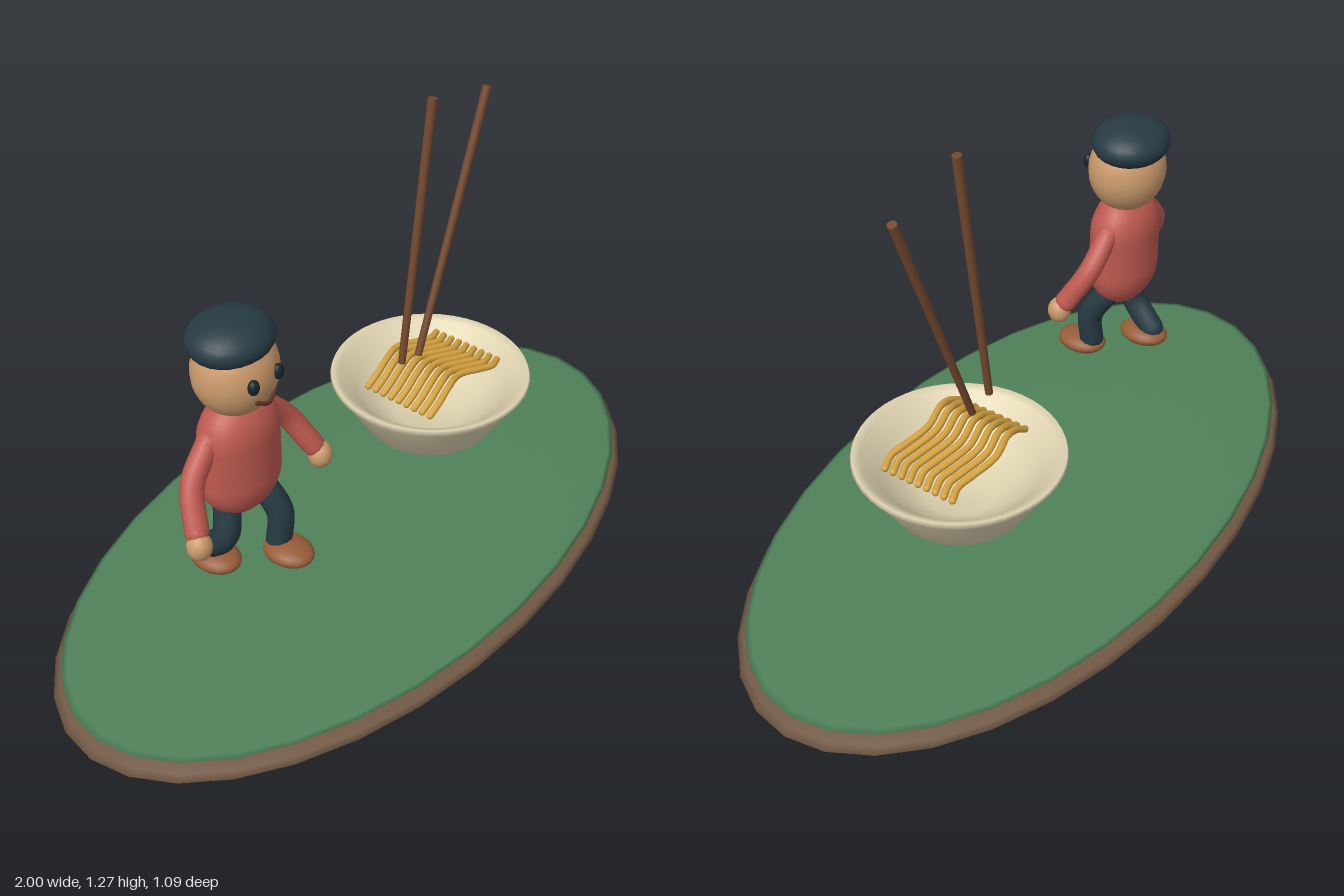
import * as THREE from 'three';

const mat = (color, side = THREE.FrontSide) => new THREE.MeshStandardMaterial({ color, side });
const M = {
  earth: mat(0x715844), grass: mat(0x4f8159), bowl: mat(0xddd2b0, THREE.DoubleSide),
  noodle: mat(0xd8a440), wood: mat(0x75492e), skin: mat(0xcb9a6b), shirt: mat(0xbf5a50),
  dark: mat(0x263a43), eye: mat(0x18242a), shoe: mat(0x965c38), mouth: mat(0x5a2f25),
};
const V = (p) => new THREE.Vector3(...p);

function add(group, name, geometry, material) {
  const mesh = new THREE.Mesh(geometry, material);
  mesh.name = name;
  group.add(mesh);
  return mesh;
}

// Ellipsoid from a centre and three radii
function ball(group, name, material, centre, radii, w = 24, h = 16) {
  const mesh = add(group, name, new THREE.SphereGeometry(1, w, h), material);
  mesh.position.set(...centre);
  mesh.scale.set(...radii);
  return mesh;
}

// Round strand through a few points, with closed ends
function strand(group, name, material, points, r, steps = 16, sides = 10) {
  const curve = new THREE.CatmullRomCurve3(points.map(V));
  add(group, name, new THREE.TubeGeometry(curve, steps, r, sides), material);
  for (const end of [points[0], points[points.length - 1]]) {
    ball(group, name + 'End', material, end, [r, r, r], sides, 8);
  }
}

// Straight tapered rod between two points
function rod(group, name, material, a, b, ra, rb) {
  const dir = V(b).sub(V(a));
  const mesh = add(group, name, new THREE.CylinderGeometry(rb, ra, dir.length(), 10), material);
  mesh.position.copy(V(a)).addScaledVector(dir, 0.5);
  mesh.quaternion.setFromUnitVectors(new THREE.Vector3(0, 1, 0), dir.normalize());
}

function makeGround() {
  const g = new THREE.Group();
  g.name = 'ground';
  ball(g, 'earthDisc', M.earth, [0, 0.06, 0], [1, 0.058, 0.545], 32, 16);
  ball(g, 'grassDisc', M.grass, [0, 0.105, 0], [0.975, 0.019, 0.525], 32, 16);
  return g;
}

function makeBowl() {
  const g = new THREE.Group();
  g.name = 'noodleBowl';
  g.position.x = 0.305;
  // Outer wall from the foot up, over the rim and down the inside
  const profile = [
    [0, 0.247], [0.1, 0.247], [0.175, 0.288], [0.255, 0.415], [0.27, 0.434], [0.266, 0.444],
    [0.245, 0.437], [0.205, 0.395], [0.15, 0.34], [0.09, 0.31], [0, 0.305],
  ].map(([r, y]) => new THREE.Vector2(r, y));
  add(g, 'bowl', new THREE.LatheGeometry(profile, 48), M.bowl);

  // Wavy noodles side by side
  const count = 9;
  for (let i = 0; i < count; i++) {
    const z = -0.095 + (0.205 * i) / (count - 1);
    strand(g, 'noodle', M.noodle, [
      [-0.16, 0.442, z + 0.01], [-0.125, 0.463, z + 0.012], [-0.075, 0.48, z + 0.004],
      [0, 0.473, z - 0.014], [0.07, 0.458, z + 0.002], [0.115, 0.449, z + 0.012], [0.155, 0.441, z],
    ], 0.0095, 28, 8);
  }

  // Pair of sticks above the noodles
  rod(g, 'chopstick', M.wood, [-0.127, 0.54, 0], [-0.025, 1.268, 0], 0.01, 0.012);
  rod(g, 'chopstick', M.wood, [-0.056, 0.525, 0], [0.205, 1.21, 0], 0.01, 0.012);
  return g;
}

function makeFigure() {
  const g = new THREE.Group();
  g.name = 'walkingFigure';
  g.position.x = -0.445;

  const torso = add(g, 'torso', new THREE.CapsuleGeometry(0.115, 0.11, 10, 24), M.shirt);
  torso.position.y = 0.645;
  torso.scale.z = 0.72;
  ball(g, 'head', M.skin, [0, 0.883, 0], [0.108, 0.115, 0.1]);
  ball(g, 'cap', M.dark, [0, 0.966, -0.009], [0.11, 0.058, 0.099]);
  strand(g, 'mouth', M.mouth,
    [[-0.03, 0.843, 0.092], [0, 0.83, 0.099], [0.03, 0.843, 0.092]], 0.005, 12, 8);

  for (const s of [-1, 1]) {
    ball(g, 'eye', M.eye, [s * 0.041, 0.893, 0.094], [0.015, 0.02, 0.013], 16, 12);
    strand(g, 'arm', M.shirt,
      [[s * 0.095, 0.725, -0.005], [s * 0.165, 0.645, 0.005], [s * 0.205, 0.555, 0.05]], 0.029);
    ball(g, 'hand', M.skin, [s * 0.214, 0.527, 0.065], [0.031, 0.036, 0.031], 16, 12);
    // Left leg steps forward, right leg trails
    const left = s > 0;
    strand(g, 'leg', M.dark, [
      [s * 0.052, 0.53, 0], [s * 0.072, 0.435, left ? 0.055 : 0.01],
      [s * 0.066, 0.35, left ? 0.055 : -0.06],
    ], 0.034);
    ball(g, 'shoe', M.shoe, [s * 0.064, 0.33, left ? 0.087 : -0.037], [0.055, 0.028, 0.07], 20, 12);
  }
  return g;
}

export function createModel() {
  const model = new THREE.Group();
  model.name = 'noodlePicnic';
  model.add(makeGround(), makeBowl(), makeFigure());
  return model;
}
